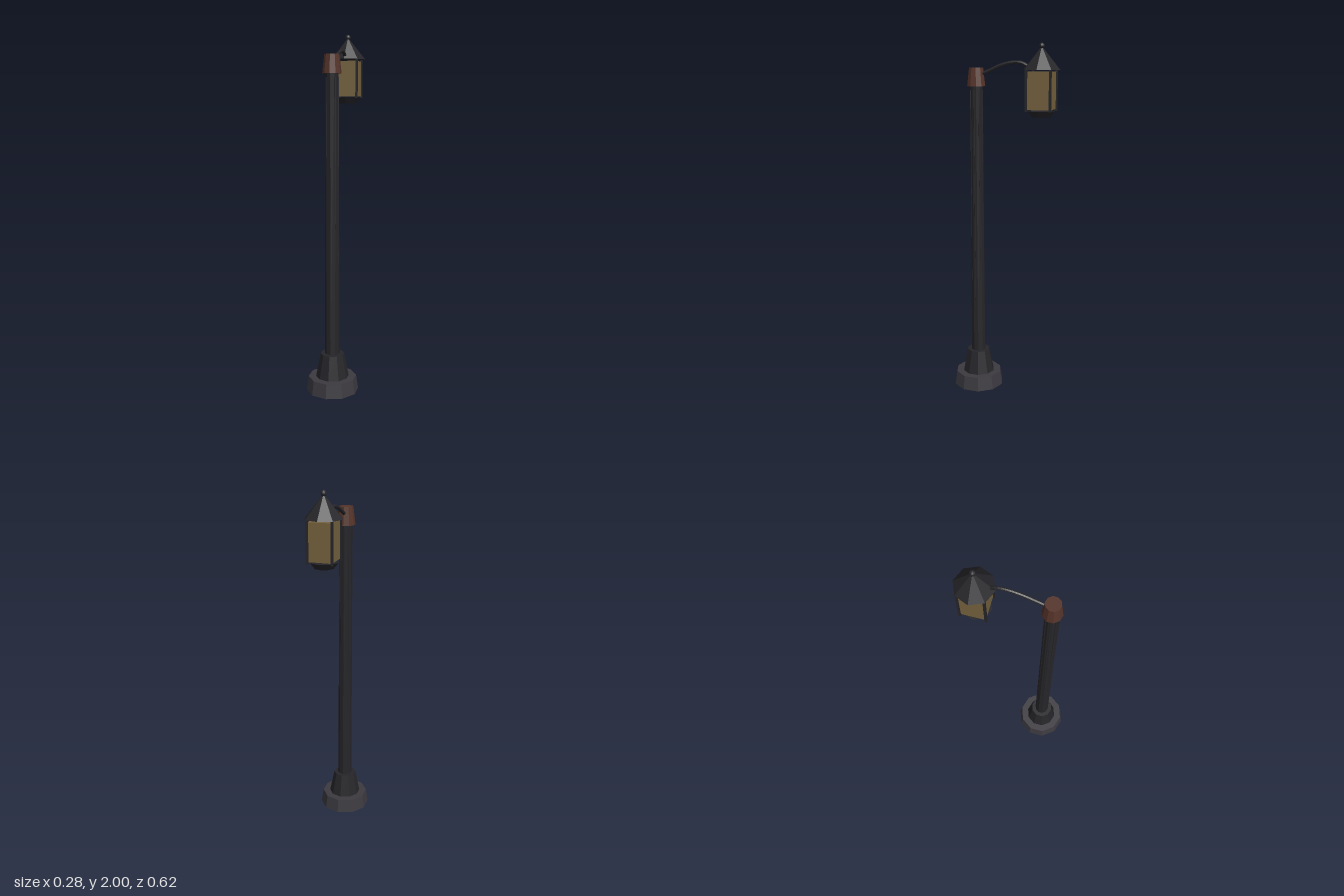
import * as THREE from 'three';

const mat = (color) => new THREE.MeshStandardMaterial({ color, flatShading: true });

export function createModel() {
  const root = new THREE.Group();
  root.name = 'streetLamp';
  const iron = mat(0x26262a), stone = mat(0x3c3a40), copper = mat(0x55342a), glass = mat(0x76633f);

  const add = (parent, name, geometry, material, x = 0, y = 0, z = 0) => {
    const mesh = new THREE.Mesh(geometry, material);
    mesh.name = name;
    mesh.position.set(x, y, z);
    parent.add(mesh);
    return mesh;
  };
  // Tapered drum standing between two heights
  const drum = (parent, name, rTop, rBottom, y0, y1, sides, material, x = 0, z = 0) =>
    add(parent, name, new THREE.CylinderGeometry(rTop, rBottom, y1 - y0, sides), material, x, (y0 + y1) / 2, z);

  // Post: stepped foot, shaft and collar
  const post = new THREE.Group();
  post.name = 'post';
  post.position.z = 0.163;
  root.add(post);
  drum(post, 'foot', 0.135, 0.147, 0, 0.08, 10, stone);
  drum(post, 'pedestal', 0.066, 0.093, 0.08, 0.215, 10, iron);
  drum(post, 'shaft', 0.035, 0.042, 0.215, 1.78, 10, iron);
  drum(post, 'collar', 0.04, 0.052, 1.77, 1.87, 10, copper);

  // Slim vertical ribs on the shaft
  for (let i = 0; i < 8; i++) {
    const a = (i / 8) * Math.PI * 2;
    drum(post, 'rib', 0.004, 0.004, 0.27, 1.75, 5, iron, Math.sin(a) * 0.035, Math.cos(a) * 0.035);
  }

  // Curved arm reaching back to the lantern
  const path = new THREE.CatmullRomCurve3([
    [0.14, 1.83], [0.09, 1.852], [0.02, 1.882], [-0.05, 1.898], [-0.1, 1.895], [-0.14, 1.875], [-0.17, 1.865],
  ].map(([z, y]) => new THREE.Vector3(0, y, z)));
  add(root, 'arm', new THREE.TubeGeometry(path, 20, 0.01, 8), iron);

  // Lantern: roof, finial, glass box, corner bars and tray
  const lantern = new THREE.Group();
  lantern.name = 'lantern';
  lantern.position.z = -0.21;
  root.add(lantern);
  drum(lantern, 'roof', 0.008, 0.102, 1.86, 1.973, 8, iron);
  add(lantern, 'finial', new THREE.SphereGeometry(0.016, 8, 6), iron, 0, 1.984, 0);
  add(lantern, 'glass', new THREE.BoxGeometry(0.13, 0.2, 0.13), glass, 0, 1.75, 0);
  for (const x of [-1, 1]) {
    for (const z of [-1, 1]) {
      add(lantern, 'cornerBar', new THREE.BoxGeometry(0.012, 0.222, 0.012), iron, x * 0.066, 1.751, z * 0.066);
    }
  }
  drum(lantern, 'tray', 0.077, 0.053, 1.61, 1.642, 8, iron);

  return root;
}
